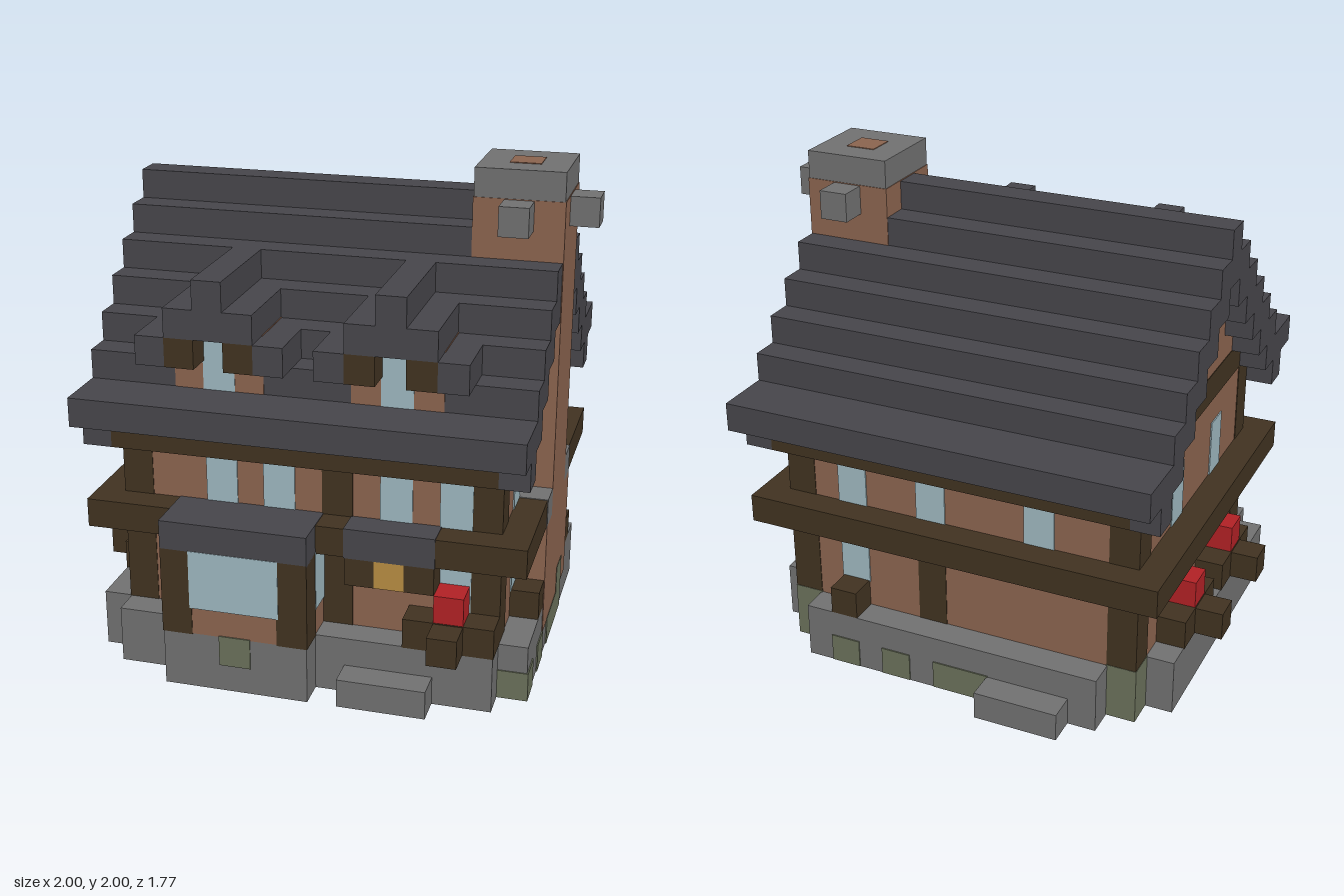
import * as THREE from 'three';

const U = 2 / 17; // size of one building block

const COLORS = {
  slate: 0x46454a, timber: 0x403220, brick: 0x8a634e, stone: 0x707070,
  glass: 0x9db6be, moss: 0x6a705a, flowerRed: 0xb02125, lampYellow: 0xb68b42,
};

export function createModel() {
  const root = new THREE.Group();
  root.name = 'cottage';

  const mats = {};
  for (const [name, color] of Object.entries(COLORS)) {
    mats[name] = new THREE.MeshStandardMaterial({ color });
    mats[name].name = name;
  }

  // Box over inclusive block ranges; x and z blocks are centred on whole numbers, y counts up from the ground.
  // "grow" lifts flush details a hair off the surface behind them.
  function box(name, mat, [x0, x1 = x0], [y0, y1 = y0], [z0, z1 = z0], grow = 0) {
    const bottom = Math.max(y0 * U - grow, y0 === 0 && grow ? 0.002 : 0);
    const top = (y1 + 1) * U + grow;
    const g = new THREE.BoxGeometry((x1 - x0 + 1) * U + 2 * grow, top - bottom, (z1 - z0 + 1) * U + 2 * grow);
    const m = new THREE.Mesh(g, mats[mat]);
    m.name = name;
    m.position.set(((x0 + x1) / 2) * U, (bottom + top) / 2, ((z0 + z1) / 2) * U);
    root.add(m);
  }
  const T = 0.003, W = 0.005; // timber and window offsets

  // Stone plinth, bay base and steps
  box('plinth', 'stone', [-6, 6], [0, 1], [-5, 6]);
  box('plinthSides', 'stone', [-7, 7], [0, 1], [-4, 5]);
  box('plinthBack', 'stone', [-5, 5], [0, 1], [-6, -5]);
  box('bayBase', 'stone', [-4, 0], [0, 1], [6, 7]);
  box('frontStep', 'stone', [2, 4], [0], [7]);
  box('backStep', 'stone', [-4, -2], [0], [-7]);

  // Brick walls and stepped gables
  box('walls', 'brick', [-6, 6], [2, 9], [-5, 5]);
  for (let i = 0; i < 4; i++) box('gable', 'brick', [-6, 6], [10 + i], [-(3 - i), 3 - i]);

  // Timber frame
  for (const x of [-6, 6]) {
    for (const z of [-5, 5]) box('cornerPost', 'timber', [x], [2, 8], [z], T);
    box('gableTie', 'timber', [x], [9], [-4, 4], T);
  }
  box('frontPost', 'timber', [1], [2, 8], [5], T);
  box('backPost', 'timber', [1], [2, 4], [-5], T);
  for (const s of [-1, 1]) {
    box('middleBeam', 'timber', [-7, 7], [5], [6 * s]);
    box('sideBeam', 'timber', [7 * s], [5], [-6, 6]);
    box('eaveBeam', 'timber', [-6, 6], [8], [6 * s]);
  }

  // Main roof: pairs of stepped courses rising to the ridge
  for (const s of [-1, 1]) {
    const course = (y, a, b) => box('roofCourse', 'slate', [-7, 7], [y], s > 0 ? [a, b] : [-b, -a]);
    course(9, 5, 7);
    for (let i = 0; i < 5; i++) course(10 + i, Math.max(4 - i, 1), 5 - i);
    for (const x of [-7, 7]) box('eaveEnd', 'slate', [x], [8], [6 * s]);
  }
  box('ridge', 'slate', [-7, 7], [14, 15], [0]);

  // Dormers
  for (const c of [-3, 3]) {
    box('dormerWall', 'brick', [c - 1, c + 1], [10, 11], [3, 5], T);
    box('dormerWindow', 'glass', [c], [10, 11], [5], W);
    for (const s of [-1, 1]) {
      box('dormerBracket', 'timber', [c + s], [11], [6]);
      box('dormerEave', 'slate', [c + 2 * s], [11], [4, 6]);
    }
    box('dormerRoof', 'slate', [c - 1, c + 1], [12], [3, 6]);
    box('dormerRidge', 'slate', [c], [13], [2, 6]);
  }

  // Windows: front, back, right and left walls
  for (const x of [-3, -1, 3, 5]) box('upperFrontWindow', 'glass', [x], [6, 7], [5], W);
  box('lowerFrontWindow', 'glass', [5], [3, 4], [5], W);
  for (const x of [-3, 1, 4]) box('upperBackWindow', 'glass', [x], [6, 7], [-5], W);
  box('lowerBackWindow', 'glass', [4], [3, 4], [-5], W);
  box('backSill', 'timber', [4], [2], [-6]);
  for (const s of [-1, 1]) {
    for (const y of [3, 6]) {
      box('rightWindow', 'glass', [6], [y, y + 1], [3 * s], W);
      box('leftWindow', 'glass', [-6], [y, y + 1], [2 * s], W);
    }
    box('rightSill', 'timber', [7], [2], [3 * s]);
  }
  box('gableWindow', 'glass', [-6], [10, 11], [0], W);

  // Bay window
  box('bayWall', 'brick', [-4, 0], [2, 4], [6, 7]);
  box('bayGlass', 'glass', [-3, -1], [3, 4], [7], W);
  box('baySideGlass', 'glass', [-4, 0], [3, 4], [6], W);
  for (const x of [-4, 0]) box('bayPost', 'timber', [x], [2, 4], [7], T);
  box('bayRoof', 'slate', [-4, 0], [5], [6, 7], T);

  // Porch hood with brackets and lamp
  box('porchRoof', 'slate', [2, 4], [5], [6], T);
  for (const x of [2, 4]) box('porchBracket', 'timber', [x], [4], [6]);
  box('lamp', 'lampYellow', [3], [4], [6]);

  // Flower boxes: a cross of timber blocks with a bloom on top
  function flowerBox(x, z, dx, dz) {
    box('planter', 'timber', [x - Math.abs(dz), x + Math.abs(dz)], [2], [z - Math.abs(dx), z + Math.abs(dx)], T);
    box('planterFront', 'timber', [x + dx], [2], [z + dz]);
    box('flower', 'flowerRed', [x], [3], [z]);
  }
  flowerBox(5, 6, 0, 1);
  flowerBox(-7, 2, -1, 0);
  flowerBox(-7, -2, -1, 0);

  // Chimney
  box('chimneyBase', 'brick', [7], [1, 4], [-2, 2], T);
  box('chimneyShaft', 'brick', [7], [1, 15], [-1, 1], T);
  box('chimneyStack', 'brick', [5, 7], [10, 15], [-1, 1], T);
  for (const s of [-1, 1]) {
    box('chimneyShoulder', 'stone', [7], [5], [2 * s], T);
    box('chimneyKnob', 'stone', [6], [15], [2 * s]);
  }
  box('chimneyOuterKnob', 'stone', [8], [15], [0]);
  box('chimneyCap', 'stone', [5, 7], [16], [-1, 1]);
  box('flue', 'brick', [6], [16], [0], T);

  // Moss patches on the plinth
  const moss = (x, y, z) => box('moss', 'moss', x, y, z, W);
  moss([7], [0], [-1, 1]);
  moss([7], [1], [-1]);
  moss([7], [0], [3]);
  moss([7], [0], [5]);
  moss([-2], [1], [7]);
  for (const x of [-6, 6]) moss([x], [0, 1], [-5]);
  for (const x of [-1, 0, 2, 4]) moss([x], [0], [-6]);

  return root;
}
